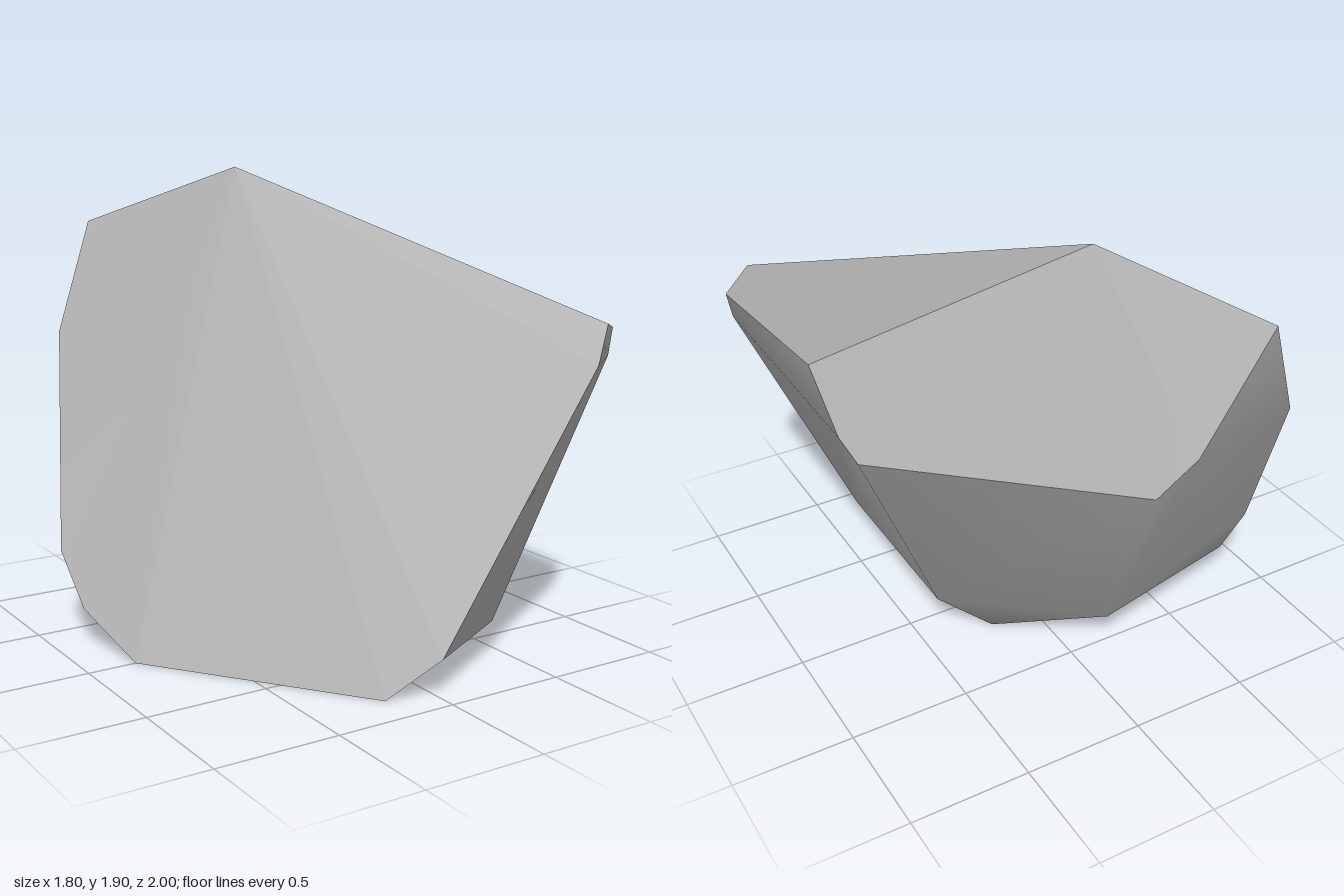
import * as THREE from 'three';

// Corner points of the boulder, lowest ring first.
const P = {
  // base ring
  b0: [-0.19, 0, 0.84], b1: [0.2, 0, 0.55], b2: [0.2, 0, -0.18],
  b3: [-0.18, 0, -0.32], b4: [-0.69, 0, -0.17], b5: [-0.8, 0, 0],
  // ring above the bevelled foot
  m0: [-0.01, 0.16, 0.95], m1: [0.41, 0.16, 0.72], m2: [0.41, 0.16, -0.09],
  m3: [-0.15, 0.16, -0.54], m4: [-0.84, 0.16, -0.39], m5: [-0.89, 0.16, -0.28],
  // shoulder ring, interrupted by the cleaved faces
  t0: [0.66, 1.2, 1.0], t1: [0.86, 1.2, 0.84], t2: [0.86, 1.2, -0.23], s2: [0.82, 1.11, -0.3],
  s3: [-0.05, 1.05, -0.96], t3: [-0.2, 1.2, -1.0], t4: [-0.7, 1.2, -0.89], t5: [-0.905, 0.36, -0.46],
  // crown
  u0: [0.73, 1.35, 0.97], u1: [0.88, 1.31, 0.84], u2: [0.9, 1.45, -0.09],
  u5: [-0.5, 1.66, -1.0], apex: [-0.02, 1.9, -0.54],
};

// Fans each polygon into triangles; corners are shared, so normals are smooth within one call.
function polygons(faces) {
  const names = [...new Set(faces.join(' ').split(' '))];
  const index = [];
  for (const face of faces) {
    const c = face.split(' ').map((n) => names.indexOf(n));
    for (let i = 1; i < c.length - 1; i++) index.push(c[0], c[i], c[i + 1]);
  }
  const geometry = new THREE.BufferGeometry();
  geometry.setAttribute('position', new THREE.Float32BufferAttribute(names.flatMap((n) => P[n]), 3));
  geometry.setIndex(index);
  geometry.computeVertexNormals();
  return geometry;
}

export function createModel() {
  const model = new THREE.Group();
  model.name = 'boulder';
  const stone = new THREE.MeshStandardMaterial({ color: 0xaaaaaa });
  stone.name = 'grey stone';

  const add = (name, faces) => {
    const mesh = new THREE.Mesh(polygons(faces), stone);
    mesh.name = name;
    model.add(mesh);
  };

  // Smooth weathered body: base, bevelled foot, walls and shoulder
  const foot = [];
  for (let i = 0; i < 5; i++) foot.push(`b${i} b${i + 1} m${i + 1} m${i}`);
  add('weatheredBody', [
    'b5 b4 b3 b2 b1 b0',
    ...foot,
    'm0 m1 t1 t0',
    'm1 m2 s2 t2 t1',
    'm2 m3 s3 s2',
    'm3 m4 t5 t4 t3 s3',
    'm4 m5 t5',
    't0 t1 u1 u0',
    't1 t2 u2 u1',
    't3 t4 u5',
  ]);

  // Flat cleaved faces with sharp borders
  add('frontCleavedFace', ['apex u5 t4 t5 m5 b5 b0 m0 t0 u0']);
  add('topCleavedFace', ['u0 u1 u2 apex']);
  add('backCleavedFace', ['apex u2 t2 s2 s3 t3 u5']);

  return model;
}
